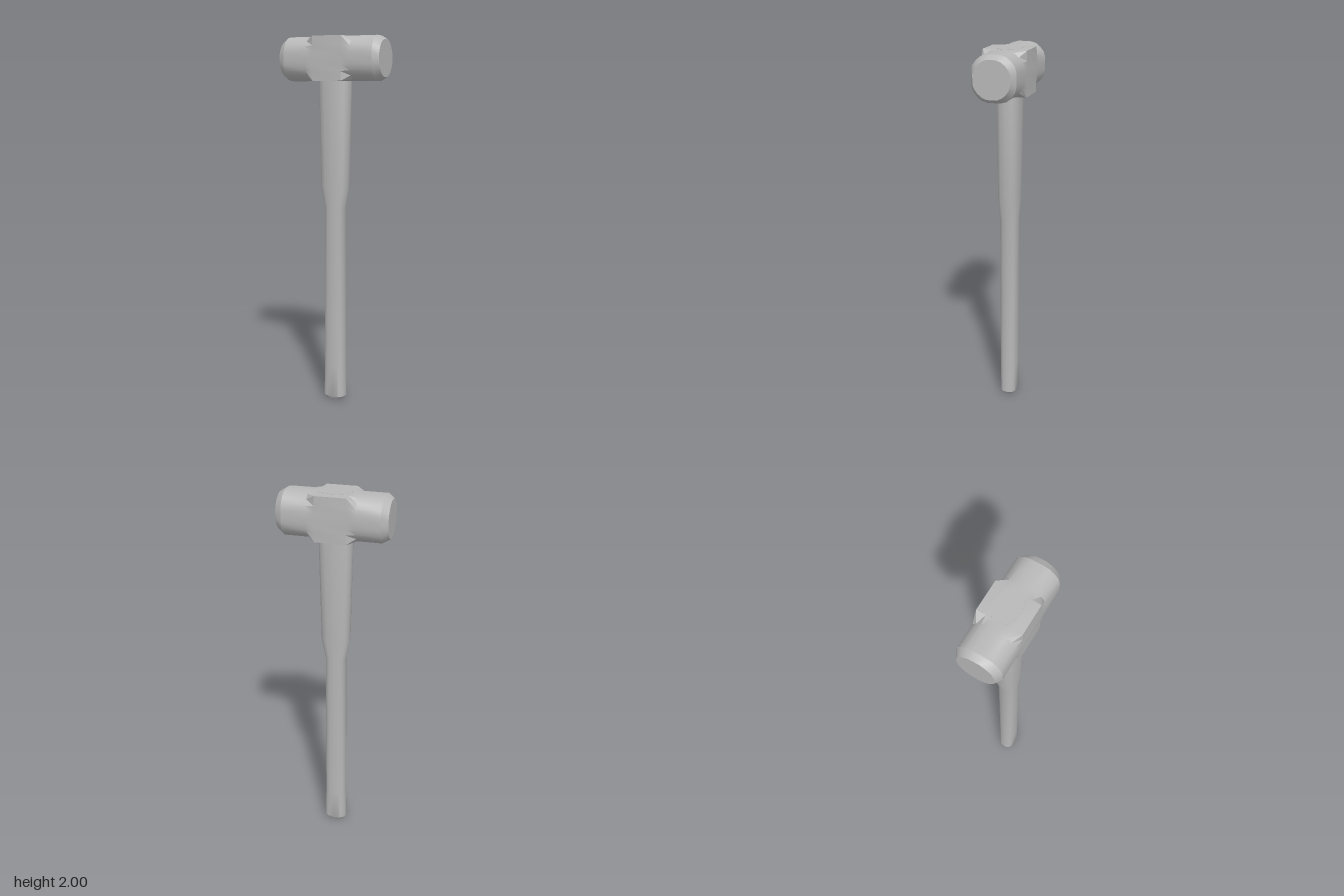
import * as THREE from 'three';
import { mergeVertices, toCreasedNormals } from 'three/addons/utils/BufferGeometryUtils.js';

// Skin a list of closed rings and cap both ends
function loft(rings, crease) {
  const n = rings[0].length, pos = [], idx = [];
  rings.forEach(r => r.forEach(p => pos.push(...p)));
  for (let k = 0; k < rings.length - 1; k++) {
    for (let i = 0; i < n; i++) {
      const a = k * n + i, b = k * n + (i + 1) % n;
      idx.push(a, a + n, b, b, a + n, b + n);
    }
  }
  const last = (rings.length - 1) * n;
  for (let i = 1; i < n - 1; i++) {
    idx.push(0, i, i + 1, last, last + i + 1, last + i);
  }
  let geo = new THREE.BufferGeometry();
  geo.setAttribute('position', new THREE.Float32BufferAttribute(pos, 3));
  geo.setIndex(idx);
  geo = mergeVertices(geo);
  return toCreasedNormals(geo, crease);
}

function ring(n, fn) {
  return Array.from({ length: n }, (_, i) => fn((i / n) * Math.PI * 2));
}

export function createModel() {
  const group = new THREE.Group();
  const grey = new THREE.MeshStandardMaterial({ color: 0xb8b8b8 });
  grey.name = 'plain grey';

  // Head: round striking ends with bevelled rims, blending into a square block
  const half = 0.115, centreY = 1.884;
  const headStations = [ // x, flat half-width, maximum radius
    [-0.283, 0.095, 0.098],
    [-0.249, half, 0.124],
    [-0.125, half, 0.124],
    [-0.08, half, 0.162],
    [0.08, half, 0.162],
    [0.125, half, 0.124],
    [0.249, half, 0.124],
    [0.283, 0.095, 0.098],
  ];
  const headRings = headStations.map(([x, flat, max]) => ring(24, a => {
    const c = Math.cos(a), s = Math.sin(a);
    const r = Math.min(flat / Math.max(Math.abs(c), Math.abs(s)), max);
    return [x, centreY + r * s, r * c];
  }));
  const head = new THREE.Mesh(loft(headRings, 0.48), grey);
  head.name = 'hammerHead';
  group.add(head);

  // Handle: rounded-rectangle section, wide under the head, slim grip, bevelled butt
  const handleStations = [ // y, half width x, half depth z, centre z
    [0, 0.045, 0.032, 0],
    [0.02, 0.062, 0.045, 0],
    [0.2, 0.058, 0.047, 0],
    [1.09, 0.054, 0.049, 0],
    [1.2, 0.076, 0.056, 0],
    [1.77, 0.087, 0.061, -0.002],
    [2, 0.082, 0.06, -0.005],
  ];
  const power = 2 / 2.8;
  const bulge = v => Math.sign(v) * Math.pow(Math.abs(v), power);
  const handleRings = handleStations.map(([y, hx, hz, cz]) => ring(16, a =>
    [hx * bulge(Math.cos(a)), y, cz + hz * bulge(Math.sin(a))]));
  const handle = new THREE.Mesh(loft(handleRings, 0.6), grey);
  handle.name = 'handle';
  group.add(handle);

  return group;
}
